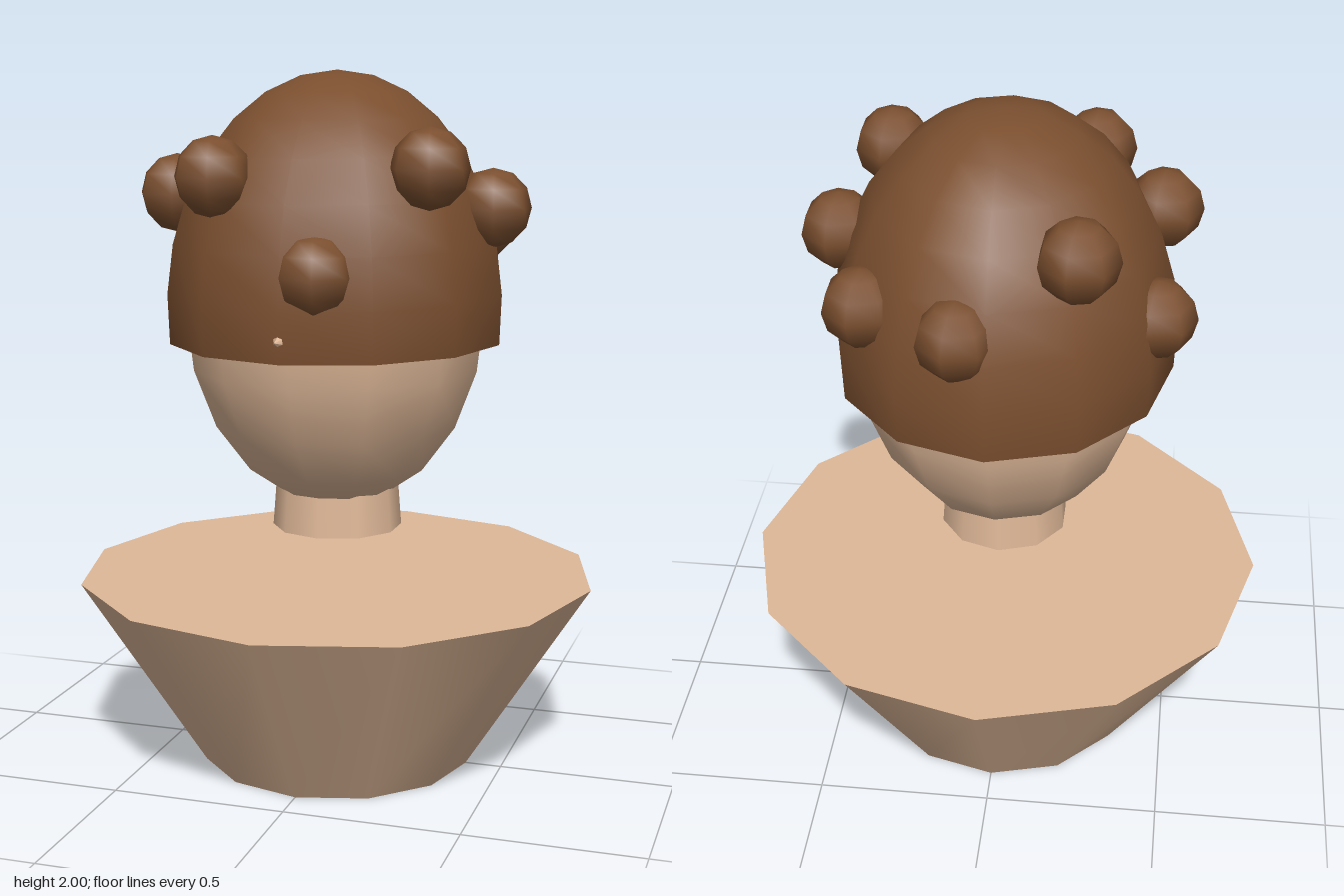
import * as THREE from 'three';

export function createModel() {
  const model = new THREE.Group();
  const skin = new THREE.MeshStandardMaterial({ color: 0xdfb898 });
  skin.name = 'skin';
  const hairBrown = new THREE.MeshStandardMaterial({ color: 0x7b4f2f, side: THREE.DoubleSide });
  hairBrown.name = 'hair brown';

  const add = (name, geometry, material, x, y, z) => {
    const mesh = new THREE.Mesh(geometry, material);
    mesh.name = name;
    mesh.position.set(x, y, z);
    model.add(mesh);
    return mesh;
  };

  // Tapered bust, with the neck floating above it
  add('shoulders', new THREE.CylinderGeometry(0.75, 0.395, 0.555, 12), skin, 0, 0.2775, 0);
  add('neck', new THREE.CylinderGeometry(0.17, 0.187, 0.22, 10), skin, 0, 0.805, 0);

  // Egg-shaped head
  const headY = 1.346;
  add('head', new THREE.SphereGeometry(1, 12, 10), skin, 0, headY, 0).scale.set(0.432, 0.588, 0.46);

  // Small pointed nose, its tip just clear of the hair
  const nose = add('nose', new THREE.ConeGeometry(0.05, 0.1, 6), skin, 0, 1.305, 0.495);
  nose.rotation.x = Math.PI / 2;

  // Open hair cap reaching a little below the widest ring
  const cap = new THREE.SphereGeometry(1, 12, 8, 0, Math.PI * 2, 0, Math.PI * 0.55);
  add('hairCap', cap, hairBrown, 0, headY, 0).scale.set(0.48, 0.654, 0.524);

  // Ring of nine curls at varied heights, from the left side round the front
  const curl = new THREE.SphereGeometry(0.11, 7, 6);
  const heights = [1.625, 1.745, 1.47, 1.72, 1.66, 1.49, 1.78, 1.565, 1.555];
  heights.forEach((y, i) => {
    const a = (i / heights.length) * Math.PI * 2;
    add('curl' + (i + 1), curl, hairBrown, Math.cos(a) * 0.45, y, Math.sin(a) * 0.45);
  });

  return model;
}
